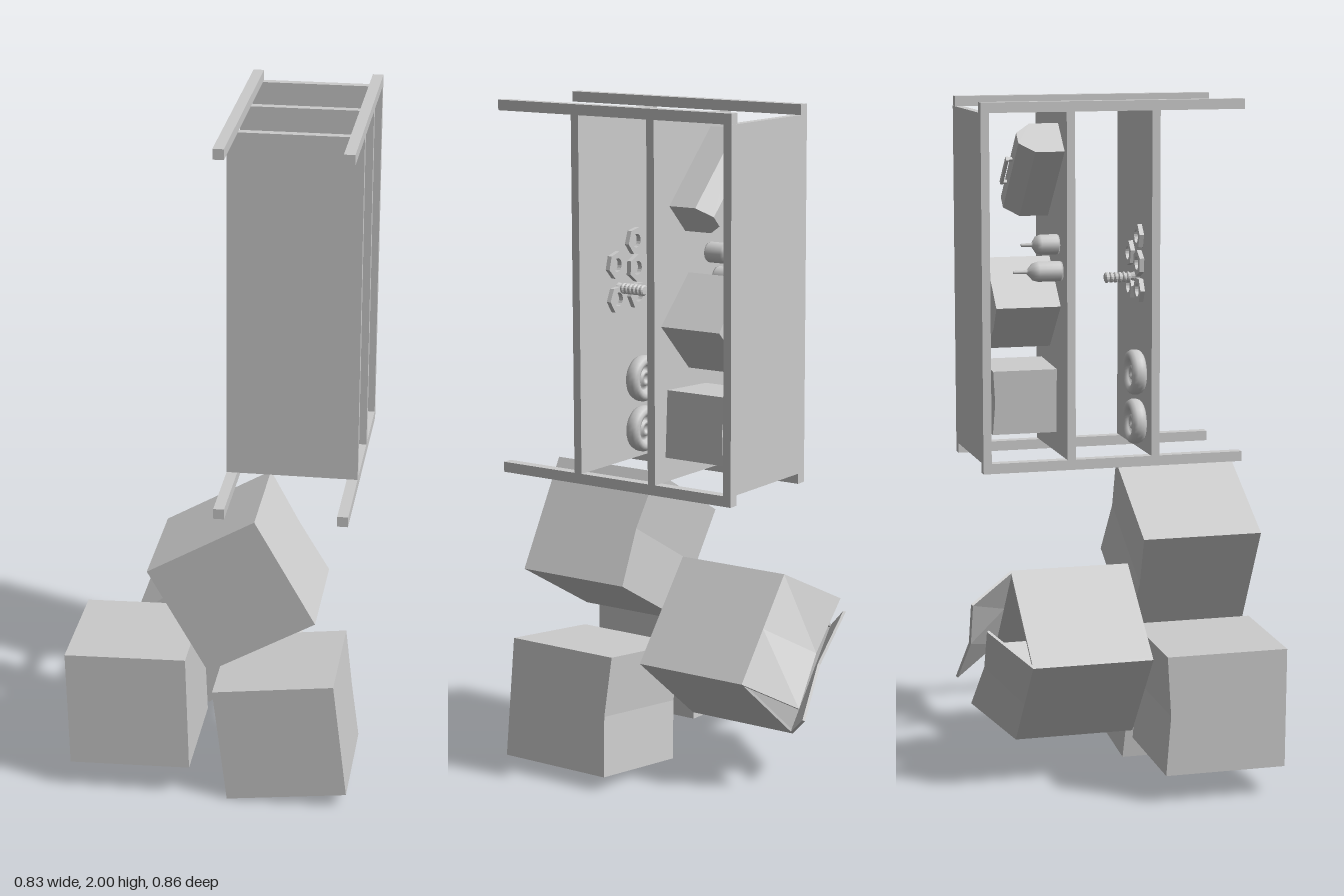
import * as THREE from 'three';

const grey = new THREE.MeshStandardMaterial({ color: 0xcccccc });
const flat = new THREE.MeshStandardMaterial({ color: 0xcccccc, flatShading: true });
const deg = Math.PI / 180;

function add(parent, name, geometry, x = 0, y = 0, z = 0, turn = 0, material = flat) {
  const mesh = new THREE.Mesh(geometry, material);
  mesh.name = name;
  mesh.position.set(x, y, z);
  mesh.rotation.y = turn * deg;
  parent.add(mesh);
  return mesh;
}

function lathe(points, sides) {
  return new THREE.LatheGeometry(points.map(([r, y]) => new THREE.Vector2(r, y)), sides);
}

// Closed carton, origin at its base, with the lid sagging along its middle seam
function cartonGeometry(side, height) {
  const g = new THREE.BoxGeometry(side, height, side, 1, 1, 2).translate(0, height / 2, 0);
  const p = g.attributes.position;
  for (let i = 0; i < p.count; i++) {
    if (p.getY(i) > height / 2 && Math.abs(p.getZ(i)) < 1e-4) p.setY(i, height - side * 0.035);
  }
  return g;
}

// Open carton with two flaps leaning inwards
function openCarton(side, height) {
  const box = new THREE.Group();
  const t = 0.008;
  add(box, 'cartonBase', new THREE.BoxGeometry(side, t, side), 0, t / 2, 0);
  for (const s of [-1, 1]) {
    add(box, 'cartonWall', new THREE.BoxGeometry(t, height, side), s * (side - t) / 2, height / 2, 0);
    add(box, 'cartonWall', new THREE.BoxGeometry(side - 2 * t, height, t), 0, height / 2, s * (side - t) / 2);
    const g = new THREE.BoxGeometry(t, 0.18, side, 1, 1, 2).translate(-t / 2, 0.09, 0);
    const p = g.attributes.position;
    // crease the free edge at its middle
    for (let i = 0; i < p.count; i++) {
      if (p.getY(i) > 0.1 && Math.abs(p.getZ(i)) < 1e-4) {
        p.setX(i, p.getX(i) - 0.015);
        p.setY(i, 0.172);
      }
    }
    const hinge = new THREE.Group();
    hinge.rotation.y = s > 0 ? 0 : Math.PI;
    const flap = add(hinge, 'cartonFlap', g, side / 2, height, 0);
    flap.rotation.z = (s > 0 ? 39 : 52) * deg;
    box.add(hinge);
  }
  return box;
}

function toolbox() {
  const box = new THREE.Group();
  const shape = new THREE.Shape([
    [-0.055, 0], [0.055, 0], [0.055, 0.087], [0.02, 0.132], [-0.02, 0.132], [-0.055, 0.087],
  ].map(([x, y]) => new THREE.Vector2(x, y)));
  const body = new THREE.ExtrudeGeometry(shape, { depth: 0.29, bevelEnabled: false }).translate(0, 0, -0.145);
  add(box, 'toolboxBody', body);
  for (const s of [-1, 1]) add(box, 'handleLeg', new THREE.BoxGeometry(0.01, 0.018, 0.008), 0, 0.139, s * 0.051);
  add(box, 'handleGrip', new THREE.BoxGeometry(0.014, 0.008, 0.11), 0, 0.148, 0);
  return box;
}

// Built upright, then the whole scene is tipped so its up points to the back
export function createModel() {
  const model = new THREE.Group();
  const upright = new THREE.Group();
  upright.name = 'storageScene';
  upright.rotation.x = -Math.PI / 2;
  model.add(upright);

  // Shelving unit
  const shelf = new THREE.Group();
  shelf.name = 'shelvingUnit';
  upright.add(shelf);
  for (const x of [0.037, 0.388]) {
    for (const z of [0.93, 1.985]) {
      add(shelf, 'post', new THREE.BoxGeometry(0.031, 0.795, 0.03), x, -0.0325, z);
    }
  }
  for (const y of [-0.16, 0.098, 0.353]) {
    add(shelf, 'shelfBoard', new THREE.BoxGeometry(0.382, 0.025, 1.025), 0.2125, y, 1.4575);
  }

  // Wheels on the lowest board
  const low = -0.1475;
  const wheel = lathe([
    [0, 0], [0.056, 0], [0.064, 0.006], [0.068, 0.016], [0.068, 0.03], [0.063, 0.04], [0.054, 0.045],
    [0.044, 0.042], [0.038, 0.034], [0.036, 0.024], [0.024, 0.024], [0.021, 0.034], [0.012, 0.034],
    [0.01, 0.024], [0, 0.024],
  ], 28);
  for (const z of [1.033, 1.183]) add(upright, 'wheel', wheel, 0.127, low, z, 0, grey);

  // Nuts and a threaded bolt
  const hex = new THREE.Shape();
  for (let i = 0; i < 6; i++) {
    const a = i * 60 * deg;
    hex[i ? 'lineTo' : 'moveTo'](0.04 * Math.cos(a), 0.04 * Math.sin(a));
  }
  hex.closePath();
  hex.holes.push(new THREE.Path().absarc(0, 0, 0.02, 0, Math.PI * 2, true));
  const nut = new THREE.ExtrudeGeometry(hex, { depth: 0.014, bevelEnabled: false, curveSegments: 8 });
  nut.rotateX(-Math.PI / 2);
  const nuts = [[0.145, 1.59, 10], [0.14, 1.51, 25], [0.135, 1.43, 0], [0.24, 1.53, 15], [0.235, 1.43, 5]];
  for (const [x, z, turn] of nuts) add(upright, 'nut', nut, x, low, z, turn);
  const thread = [[0, 0], [0.016, 0]];
  for (let i = 0; i < 6; i++) {
    const y = 0.012 + i * 0.0135;
    thread.push([0.012, y], [0.016, y + 0.004], [0.016, y + 0.009], [0.012, y + 0.0125]);
  }
  thread.push([0, 0.0925]);
  add(upright, 'bolt', lathe(thread, 14), 0.215, low, 1.46);

  // Toolbox, bottles and small cartons on the middle board
  const mid = 0.1105;
  const tools = toolbox();
  tools.name = 'toolbox';
  tools.position.set(0.188, mid, 1.79);
  tools.rotation.y = -45 * deg;
  upright.add(tools);

  const bottle = lathe([
    [0, 0], [0.028, 0], [0.03, 0.005], [0.03, 0.055], [0.025, 0.068], [0.01, 0.078], [0.006, 0.082],
    [0.005, 0.112], [0, 0.112],
  ], 16);
  add(upright, 'bottle', bottle, 0.13, mid, 1.575, 0, grey);
  add(upright, 'tallBottle', bottle, 0.09, mid, 1.5, 0, grey).scale.y = 1.3;

  const small = cartonGeometry(0.193, 0.195);
  add(upright, 'smallCarton', small, 0.235, mid, 1.393, -45);
  add(upright, 'smallCarton', small, 0.25, mid, 1.107, -3);

  // Large cartons on the floor
  const large = cartonGeometry(0.356, 0.36);
  for (const [x, z, turn] of [[-0.235, 0.272, 1.6], [0.215, 0.202, 7], [0.072, 0.668, 29.7]]) {
    add(upright, 'largeCarton', large, x, -0.43, z, -turn);
  }

  // Open carton stacked on top
  const open = openCarton(0.358, 0.36);
  open.name = 'openCarton';
  open.position.set(-0.022, -0.07, 0.3725);
  open.rotation.y = -39 * deg;
  upright.add(open);

  return model;
}
